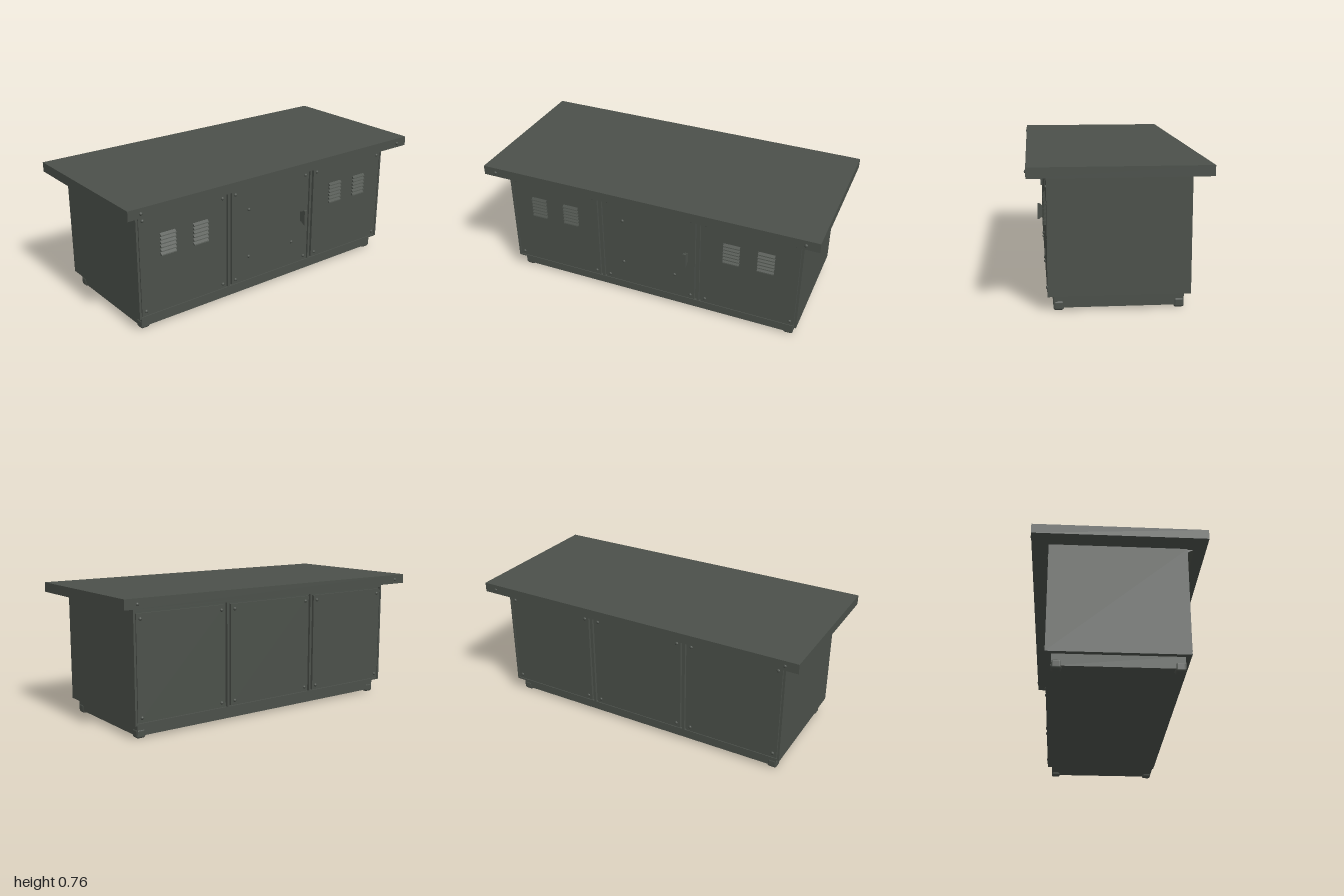
import * as THREE from 'three';
import { RoundedBoxGeometry } from 'three/addons/geometries/RoundedBoxGeometry.js';

export function createModel() {
  const group = new THREE.Group();
  group.name = 'workbench';
  const paint = new THREE.MeshStandardMaterial({ color: 0x4b504a });
  paint.name = 'grey green paint';

  const add = (name, geometry, x = 0, y = 0, z = 0, parent = group) => {
    const mesh = new THREE.Mesh(geometry, paint);
    mesh.name = name;
    mesh.position.set(x, y, z);
    parent.add(mesh);
    return mesh;
  };
  // Box given by its limits on each axis
  const box = (name, x0, x1, y0, y1, z0, z1) =>
    add(name, new THREE.BoxGeometry(x1 - x0, y1 - y0, z1 - z0),
      (x0 + x1) / 2, (y0 + y1) / 2, (z0 + z1) / 2);
  // Extrudes a (z, y) side profile along x
  const sideProfile = (name, points, x0, x1) => {
    const shape = new THREE.Shape(points.map(([z, y]) => new THREE.Vector2(-z, y)));
    const geometry = new THREE.ExtrudeGeometry(shape, { depth: x1 - x0, bevelEnabled: false });
    geometry.rotateY(Math.PI / 2);
    return add(name, geometry, x0, 0, 0);
  };

  // Worktop, cabinet core and recessed plinth
  box('worktop', -1, 1, 0.705, 0.76, -0.465, 0.46);
  box('cabinetCore', -0.898, 0.898, 0.08, 0.705, -0.36, 0.345);
  box('plinth', -0.872, 0.872, 0.014, 0.082, -0.343, 0.33);

  // Side walls run the full depth of the cabinet
  for (const s of [-1, 1]) {
    const a = s * 0.9, b = s * 0.888;
    box('sideWall', Math.min(a, b), Math.max(a, b), 0.08, 0.705, -0.375, 0.36);
  }
  // Bottom and top rails, divider strips between the panels
  for (const [z0, z1] of [[0.34, 0.36], [-0.375, -0.355]]) {
    box('bottomRail', -0.89, 0.89, 0.08, 0.09, z0, z1);
    box('topRail', -0.89, 0.89, 0.678, 0.705, z0, z1);
    for (const x of [-0.305, 0.305]) box('divider', x - 0.007, x + 0.007, 0.09, 0.678, z0, z1 - 0.002 * Math.sign(z1));
  }
  // Cove under the front overhang
  sideProfile('frontCove', [[0.355, 0.706], [0.355, 0.675], [0.362, 0.688], [0.375, 0.698], [0.4, 0.706]], -0.89, 0.89);

  // Three panels on the front and back, with corner rivets
  const rivetGeometry = new THREE.SphereGeometry(0.01, 10, 6);
  rivetGeometry.scale(1, 1, 0.8);
  const rivet = (x, y, z) => add('rivet', rivetGeometry, x, y, z);
  for (const [x0, x1] of [[-0.884, -0.325], [-0.285, 0.285], [0.325, 0.884]]) {
    box('frontPanel', x0, x1, 0.094, 0.668, 0.34, 0.36);
    box('backPanel', x0, x1, 0.094, 0.668, -0.375, -0.355);
    for (const x of [x0 + 0.025, x1 - 0.025])
      for (const y of [0.12, 0.64])
        for (const z of [0.36, -0.375]) rivet(x, y, z);
  }
  // Hinge and catch bolts of the middle door
  for (const [x, y] of [[-0.165, 0.53], [-0.165, 0.24], [0.16, 0.24]]) rivet(x, y, 0.36);
  // Bolts in the worktop edges
  for (const x of [-0.925, 0.925])
    for (const z of [-0.463, 0.46]) rivet(x, 0.73, z);

  // Louvred vents with sloping hoods
  for (const x of [-0.71, -0.5, 0.5, 0.7]) {
    for (let i = 0; i < 6; i++) {
      const y = 0.42 + i * 0.022;
      sideProfile('ventLouvre', [[0.358, y], [0.374, y], [0.372, y + 0.005], [0.358, y + 0.018]], x - 0.048, x + 0.048);
    }
  }

  // Flared door handle
  sideProfile('doorHandle', [[0.358, 0.36], [0.375, 0.355], [0.39, 0.343], [0.4, 0.341],
    [0.4, 0.431], [0.39, 0.433], [0.375, 0.422], [0.358, 0.416]], 0.226, 0.244);

  // Rounded corner feet
  const foot = new RoundedBoxGeometry(0.054, 0.05, 0.054, 3, 0.012);
  for (const x of [-0.848, 0.848])
    for (const z of [-0.318, 0.303]) add('foot', foot, x, 0.025, z);

  return group;
}
